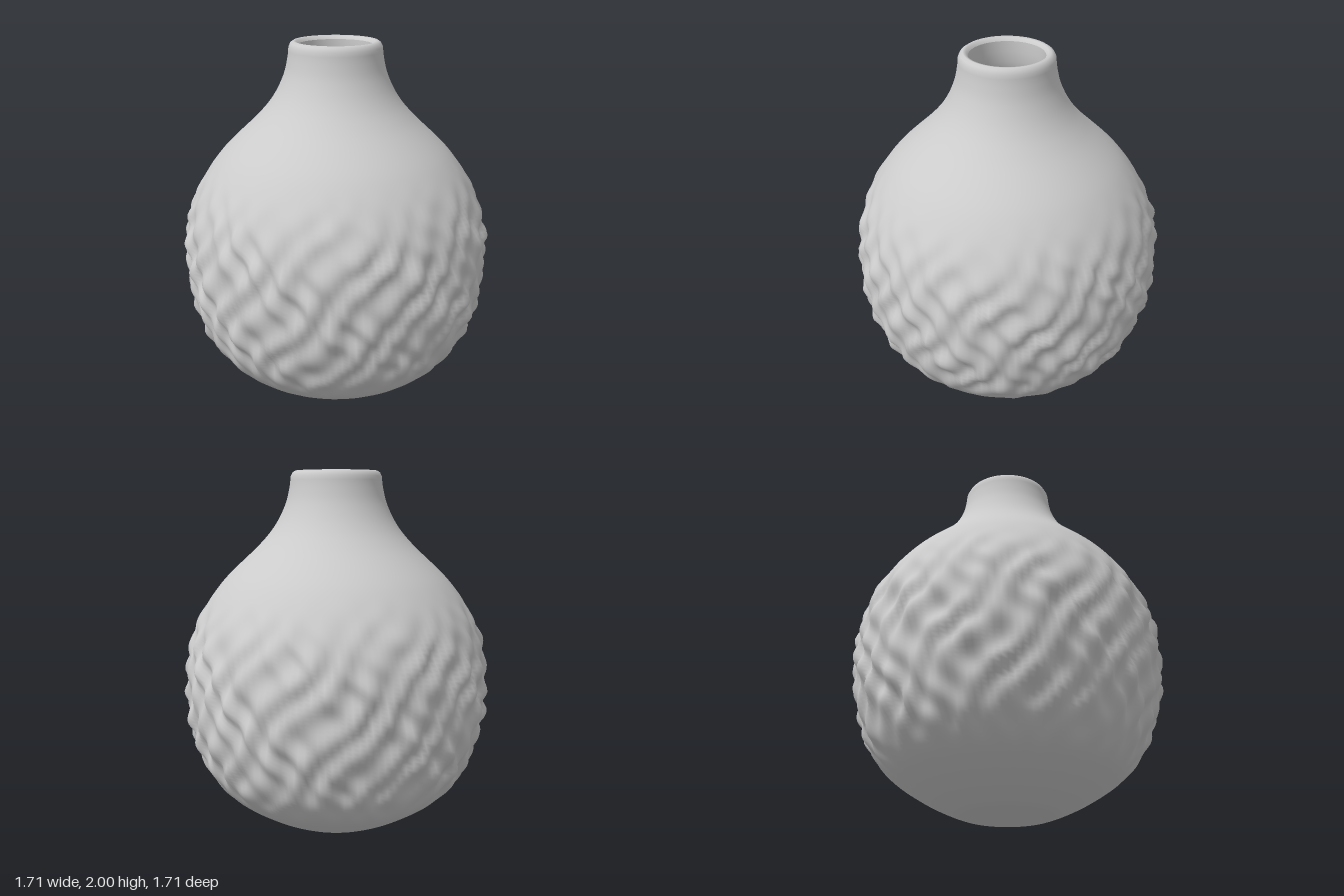
import * as THREE from 'three';
import { mergeVertices } from 'three/addons/utils/BufferGeometryUtils.js';

const SEGMENTS = 156;

// Smooth curve through [radius, height] pairs
function curvePoints(pairs, count) {
  const curve = new THREE.SplineCurve(pairs.map(([r, y]) => new THREE.Vector2(r, y)));
  return curve.getSpacedPoints(count).map(p => new THREE.Vector2(Math.max(p.x, 0), p.y));
}

// Turned surface with welded seam, optional radial relief, and smooth normals
function turned(points, relief) {
  let geo = new THREE.LatheGeometry(points, SEGMENTS);
  geo.deleteAttribute('uv');
  geo.deleteAttribute('normal');
  geo = mergeVertices(geo, 1e-4);
  if (relief) {
    const pos = geo.attributes.position;
    for (let i = 0; i < pos.count; i++) {
      const x = pos.getX(i), y = pos.getY(i), z = pos.getZ(i);
      const r = Math.hypot(x, z);
      if (r < 0.01) continue;
      const k = 1 + relief(Math.atan2(x, z), y) / r;
      pos.setXYZ(i, x * k, y, z * k);
    }
  }
  geo.computeVertexNormals();
  return geo;
}

// Staggered rows of knobs around the belly, slightly irregular, fading out above and below
function knobs(a, y) {
  const fade = THREE.MathUtils.smoothstep(y, 0.12, 0.5) * (1 - THREE.MathUtils.smoothstep(y, 0.95, 1.4));
  const wobbleA = a + 0.035 * Math.sin(5 * a + 9 * y) + 0.02 * Math.sin(11 * a - 14 * y);
  const wobbleY = y + 0.02 * Math.sin(4 * a + 1) + 0.015 * Math.sin(9 * a + 6 * y);
  const wave = Math.cos(26 * wobbleA) * Math.cos(Math.PI * (wobbleY - 0.82) / 0.135);
  const strength = 0.024 + 0.006 * Math.sin(7 * a + 12 * y);
  return fade * strength * wave;
}

export function createModel() {
  const group = new THREE.Group();
  const material = new THREE.MeshStandardMaterial({ color: 0xcccccc });
  const add = (name, geometry) => {
    const mesh = new THREE.Mesh(geometry, material);
    mesh.name = name;
    group.add(mesh);
  };

  // Base, belly, shoulder, neck and rounded lip
  const outer = curvePoints([
    [0.25, 0.005], [0.33, 0.035], [0.46, 0.1], [0.61, 0.2], [0.7, 0.3], [0.755, 0.4], [0.815, 0.6],
    [0.832, 0.8], [0.822, 1], [0.762, 1.2], [0.63, 1.4], [0.425, 1.6], [0.335, 1.71],
    [0.28, 1.82], [0.257, 1.91], [0.25, 1.97],
  ], 110);
  const lip = [[0.24, 1.99], [0.225, 2], [0.21, 1.997], [0.198, 1.98]].map(p => new THREE.Vector2(...p));
  add('body', turned([new THREE.Vector2(0, 0), new THREE.Vector2(0.2, 0), ...outer, ...lip], knobs));

  // Hollow inside, from the mouth down to the floor
  const inner = curvePoints([
    [0.198, 1.98], [0.2, 1.88], [0.23, 1.78], [0.36, 1.59], [0.56, 1.38], [0.7, 1.18],
    [0.76, 0.9], [0.74, 0.6], [0.64, 0.33], [0.44, 0.15], [0.25, 0.07],
  ], 40);
  add('inside', turned([...inner, new THREE.Vector2(0, 0.06)]));

  return group;
}
